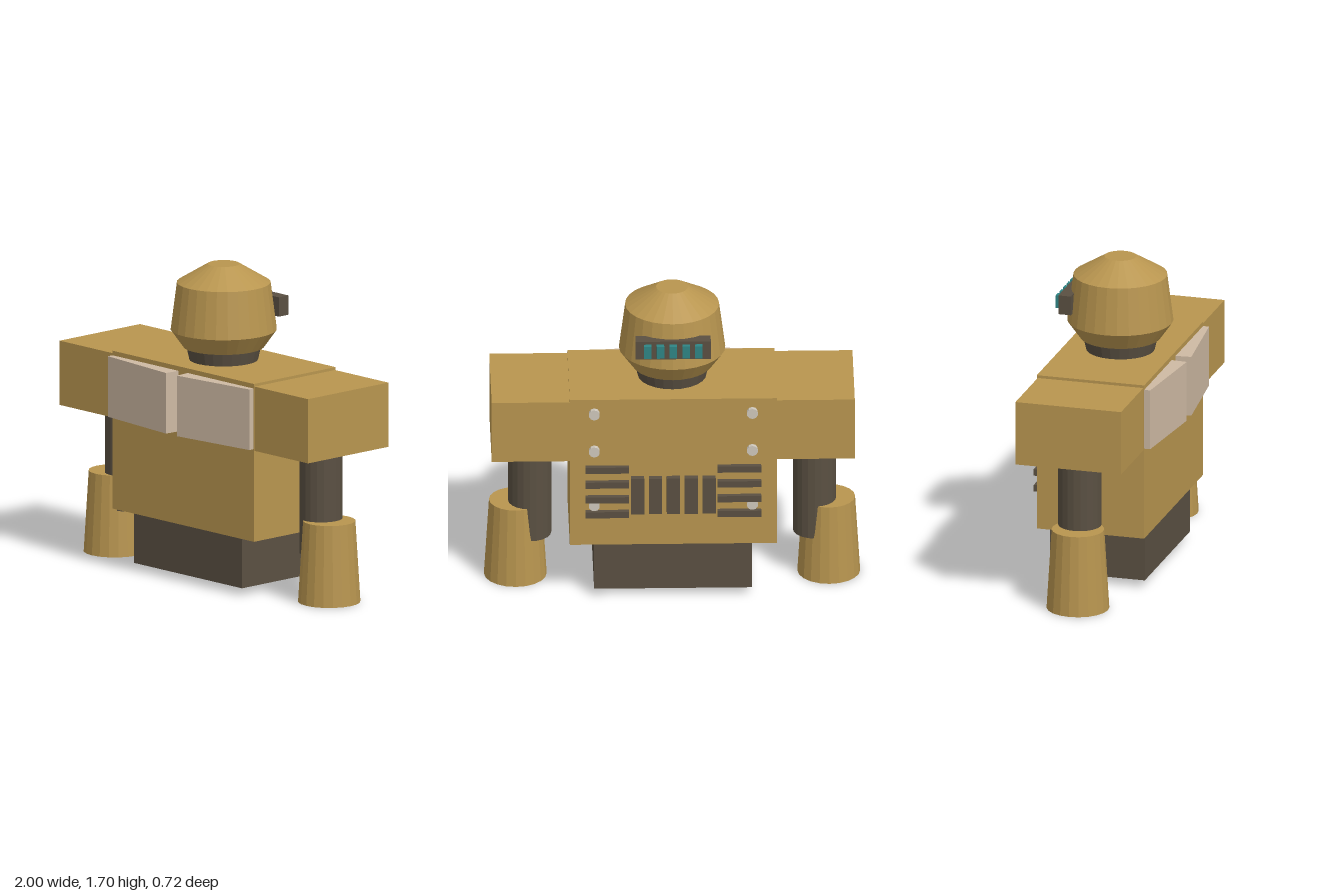
import * as THREE from 'three';

const paint = (name, color, flatShading = false) => {
  const m = new THREE.MeshStandardMaterial({ color });
  m.name = name;
  m.flatShading = flatShading;
  return m;
};

export function createModel() {
  const model = new THREE.Group();
  model.name = 'armouredTorso';

  const gold = paint('ochre armour', 0xb8954f, true);
  const dark = paint('dark metal', 0x5a5042, true);
  const pale = paint('pale plate', 0xcdb9a3, true);
  const steel = paint('bolt steel', 0xcfc8bc, true);
  const teal = paint('teal lens', 0x2f8585, true);

  const add = (name, geometry, material, x, y, z) => {
    const mesh = new THREE.Mesh(geometry, material);
    mesh.name = name;
    mesh.position.set(x, y, z);
    model.add(mesh);
    return mesh;
  };
  // box given by its limits along each axis
  const box = (name, material, [x0, x1], [y0, y1], [z0, z1]) =>
    add(name, new THREE.BoxGeometry(x1 - x0, y1 - y0, z1 - z0), material,
      (x0 + x1) / 2, (y0 + y1) / 2, (z0 + z1) / 2);
  const mirrored = (a, b, s) => (s > 0 ? [a, b] : [-b, -a]);

  // body blocks
  box('torso', gold, [-0.55, 0.55], [0.32, 1.18], [-0.32, 0.275]);
  box('pelvis', dark, [-0.42, 0.42], [0.04, 0.32], [-0.285, 0.24]);

  // neck and turned head
  add('neck', new THREE.CylinderGeometry(0.2, 0.182, 0.08, 24), dark, 0, 1.215, -0.02);
  const headProfile = [[0, 1.25], [0.215, 1.25], [0.283, 1.345], [0.25, 1.6], [0.085, 1.7], [0, 1.7]]
    .map(([r, y]) => new THREE.Vector2(r, y));
  add('head', new THREE.LatheGeometry(headProfile, 28), gold, 0, 0, -0.02);

  // sensor bar with five lenses on the rear of the head
  box('sensorBar', dark, [-0.2, 0.2], [1.41, 1.515], [-0.305, -0.235]);
  for (let i = -2; i <= 2; i++) {
    const x = i * 0.068;
    box('sensorLens', teal, [x - 0.02, x + 0.02], [1.428, 1.498], [-0.333, -0.3]);
  }

  for (const s of [1, -1]) {
    // arms
    box('shoulder', gold, mirrored(0.55, 0.965, s), [0.815, 1.165], [-0.315, 0.27]);
    add('upperArm', new THREE.CylinderGeometry(0.115, 0.115, 0.565, 20), dark, s * 0.757, 0.5325, -0.02);
    add('forearm', new THREE.CylinderGeometry(0.14, 0.167, 0.44, 20), gold, s * 0.833, 0.22, -0.008);

    // chest plate, thicker towards the middle
    const outline = new THREE.Shape([[0.548, 0.26], [0.55, 0.308], [0.043, 0.36], [0.034, 0.26]]
      .map(([x, z]) => new THREE.Vector2(s * x, -z)));
    const plate = new THREE.ExtrudeGeometry(outline, { depth: 0.33, bevelEnabled: false });
    plate.rotateX(-Math.PI / 2);
    add('chestPlate', plate, pale, 0, 0.825, 0);

    // back slats
    for (let i = 0; i < 4; i++) {
      const y = 0.515 + i * 0.088;
      box('backSlat', dark, mirrored(0.235, 0.467, s), [y - 0.018, y + 0.018], [-0.362, -0.334]);
    }

    // back bolts
    for (const y of [1.1, 0.88, 0.56]) {
      const bolt = add('backBolt', new THREE.CylinderGeometry(0.03, 0.03, 0.035, 10), steel, s * 0.42, y, -0.3275);
      bolt.rotation.x = Math.PI / 2;
    }
  }

  // upright fins in the middle of the back
  for (let i = -2; i <= 2; i++) {
    const x = i * 0.095;
    box('backFin', dark, [x - 0.035, x + 0.035], [0.515, 0.725], [-0.355, -0.315]);
  }

  return model;
}
